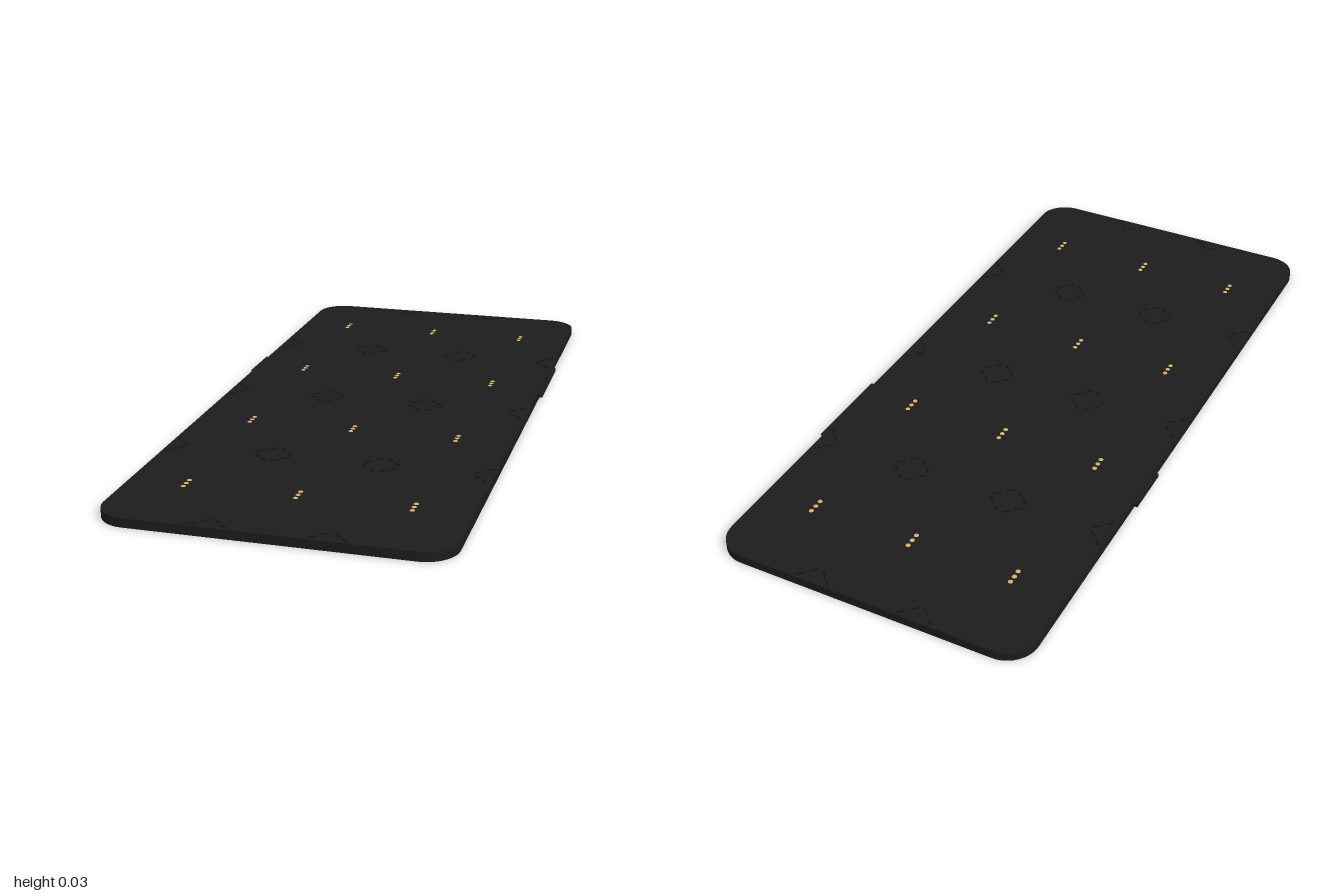
import * as THREE from 'three';

const W = 0.906, L = 2, T = 0.025, R = 0.085;

function createRoundedRect(w, l, r) {
  const x = w / 2, y = l / 2, s = new THREE.Shape();
  s.moveTo(-x + r, -y);
  s.lineTo(x - r, -y);
  s.absarc(x - r, -y + r, r, -Math.PI / 2, 0);
  s.lineTo(x, y - r);
  s.absarc(x - r, y - r, r, 0, Math.PI / 2);
  s.lineTo(-x + r, y);
  s.absarc(-x + r, y - r, r, Math.PI / 2, Math.PI);
  s.lineTo(-x, -y + r);
  s.absarc(-x + r, -y + r, r, Math.PI, Math.PI * 1.5);
  return s;
}

export function createModel() {
  const group = new THREE.Group();
  const black = new THREE.MeshStandardMaterial({ color: 0x1c1c1c });
  const seam = new THREE.MeshStandardMaterial({ color: 0x111111 });
  const gold = new THREE.MeshStandardMaterial({ color: 0xd4ae68 });

  const add = (name, geometry, material, x, y, z, parent = group) => {
    const mesh = new THREE.Mesh(geometry, material);
    mesh.name = name;
    mesh.position.set(x, y, z);
    parent.add(mesh);
    return mesh;
  };

  // Thin slab with rounded corners
  const slab = new THREE.ExtrudeGeometry(createRoundedRect(W, L, R),
    { depth: T, bevelEnabled: false, curveSegments: 10 });
  slab.rotateX(-Math.PI / 2);
  add('body', slab, black, 0, 0, 0);

  // Side buttons, one short and one long
  add('rightButton', new THREE.BoxGeometry(0.03, 0.01, 0.145), black, -0.45, 0.014, -0.278);
  add('leftButton', new THREE.BoxGeometry(0.03, 0.01, 0.271), black, 0.45, 0.014, -0.341);

  // Groups of three gold studs
  const studs = new THREE.Group();
  studs.name = 'studs';
  group.add(studs);
  const studGeometry = new THREE.SphereGeometry(0.007, 12, 6, 0, Math.PI * 2, 0, Math.PI / 2);
  studGeometry.scale(1, 0.3, 1);
  for (const x of [-0.3, 0, 0.3])
    for (const z of [-0.75, -0.25, 0.25, 0.75])
      for (const d of [-0.021, 0, 0.021]) add('stud', studGeometry, gold, x, T, z + d, studs);

  // Faint dashed diamonds between the studs, cut off at the body's edges
  const diamonds = new THREE.Group();
  diamonds.name = 'diamonds';
  group.add(diamonds);
  const dash = new THREE.BoxGeometry(0.022, 0.002, 0.004);
  for (const x of [-0.45, -0.15, 0.15, 0.45])
    for (const z of [-1, -0.5, 0, 0.5, 1])
      for (const sx of [-1, 1])
        for (const sz of [-1, 1])
          for (const t of [0.27, 0.73]) {
            const px = x + sx * 0.056 * t, pz = z + sz * 0.056 * (1 - t);
            if (Math.abs(px) > W / 2 - 0.01 || Math.abs(pz) > L / 2 - 0.01) continue;
            // skip the rounded corners
            if (Math.abs(px) > W / 2 - R && Math.abs(pz) > L / 2 - R) continue;
            add('dash', dash, seam, px, T + 0.0005, pz, diamonds).rotation.y = sx * sz * Math.PI / 4;
          }

  return group;
}
